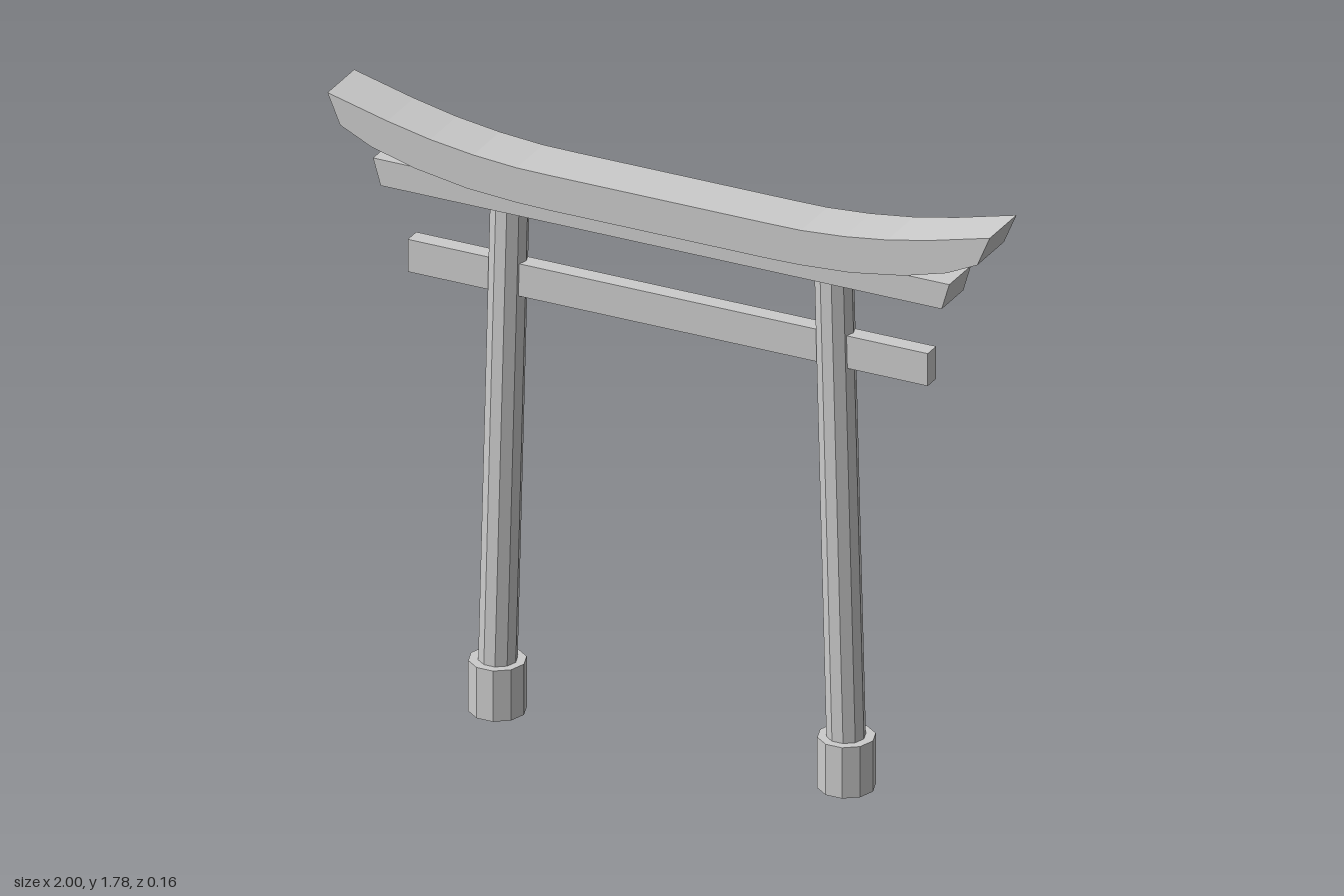
import * as THREE from 'three';

const material = new THREE.MeshStandardMaterial({ color: 0xcccccc, flatShading: true });

function addMesh(parent, name, geometry) {
  const mesh = new THREE.Mesh(geometry, material);
  mesh.name = name;
  parent.add(mesh);
  return mesh;
}

// Extrudes a left-right symmetric outline along z, centred on z = 0.
// top and bottom list the +x half, from the middle outwards.
function symmetricBeam(top, bottom, depth) {
  const mirror = (points) => points.map(([x, y]) => [-x, y]);
  const outline = [
    ...mirror(bottom).reverse(), ...bottom,
    ...[...top].reverse(), ...mirror(top),
  ].map(([x, y]) => new THREE.Vector2(x, y));
  const geometry = new THREE.ExtrudeGeometry(new THREE.Shape(outline), { depth, bevelEnabled: false });
  return geometry.translate(0, 0, -depth / 2);
}

// Ten-sided column with a corner pointing along x.
function column(radius, height) {
  return new THREE.CylinderGeometry(radius, radius, height, 10).rotateY(Math.PI / 10);
}

export function createModel() {
  const gate = new THREE.Group();
  gate.name = 'gate';

  // Curved roof beam with upswept, slanted ends
  addMesh(gate, 'roofBeam', symmetricBeam(
    [[0.33, 1.677], [0.43, 1.678], [0.56, 1.688], [0.69, 1.706], [0.82, 1.733], [1, 1.779]],
    [[0.33, 1.572], [0.43, 1.574], [0.58, 1.584], [0.74, 1.61], [0.87, 1.646], [0.962, 1.69]],
    0.16,
  ));

  // Straight lintel under the roof beam, ends flaring outwards
  addMesh(gate, 'lintel', symmetricBeam([[0.87, 1.605]], [[0.847, 1.527]], 0.13));

  // Tie beam passing through both pillars
  addMesh(gate, 'tieBeam', new THREE.BoxGeometry(1.57, 0.097, 0.051)).position.y = 1.314;

  // Inward-leaning pillars on upright footings
  for (const side of [-1, 1]) {
    const name = side > 0 ? 'left' : 'right';
    const pillar = addMesh(gate, name + 'Pillar', column(0.054, 1.46));
    pillar.position.set(side * 0.508, 0.83, 0);
    pillar.rotation.z = side * 0.026;
    addMesh(gate, name + 'Footing', column(0.08, 0.152)).position.set(side * 0.527, 0.076, 0);
  }
  return gate;
}
